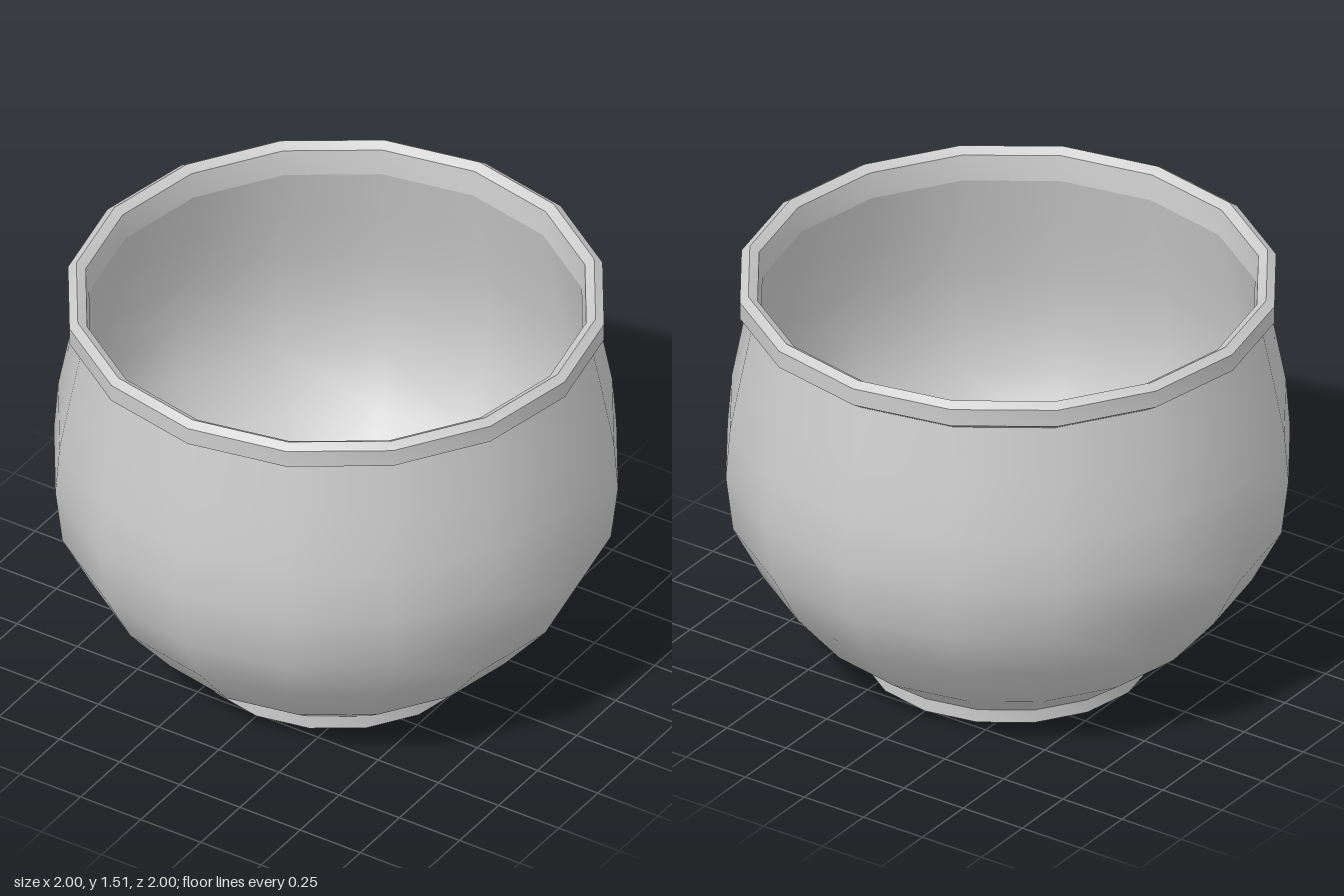
import * as THREE from 'three';
import { toCreasedNormals } from 'three/addons/utils/BufferGeometryUtils.js';

const SIDES = 16;

export function createModel() {
  const group = new THREE.Group();
  group.name = 'pot';
  const material = new THREE.MeshStandardMaterial({ color: 0xcccccc });

  // Turns a [radius, height] profile; creased keeps its bands sharp
  const turn = (name, profile, creased) => {
    const points = profile.map(([r, y]) => new THREE.Vector2(r, y));
    let geometry = new THREE.LatheGeometry(points, SIDES);
    if (creased) geometry = toCreasedNormals(geometry, 0.5);
    const mesh = new THREE.Mesh(geometry, material);
    mesh.name = name;
    group.add(mesh);
  };

  // Base disc and short upright ring
  turn('foot', [[0, 0], [0.51, 0], [0.51, 0.05]], true);

  // Rounded outer wall
  turn('outerWall', [
    [0.51, 0.05], [0.70, 0.19], [0.87, 0.39], [0.975, 0.59],
    [1.0, 0.80], [0.985, 0.99], [0.945, 1.20], [0.905, 1.40],
  ]);

  // Flared lip with a bevelled, ridged top
  turn('rim', [
    [0.905, 1.40], [0.95, 1.43], [0.95, 1.495],
    [0.92, 1.515], [0.887, 1.495], [0.875, 1.40],
  ], true);

  // Hollow inside, from the lip down to the floor
  turn('innerWall', [
    [0.875, 1.40], [0.915, 1.20], [0.953, 0.99], [0.967, 0.80],
    [0.943, 0.60], [0.843, 0.41], [0.68, 0.22], [0.50, 0.09], [0, 0.07],
  ]);

  return group;
}
